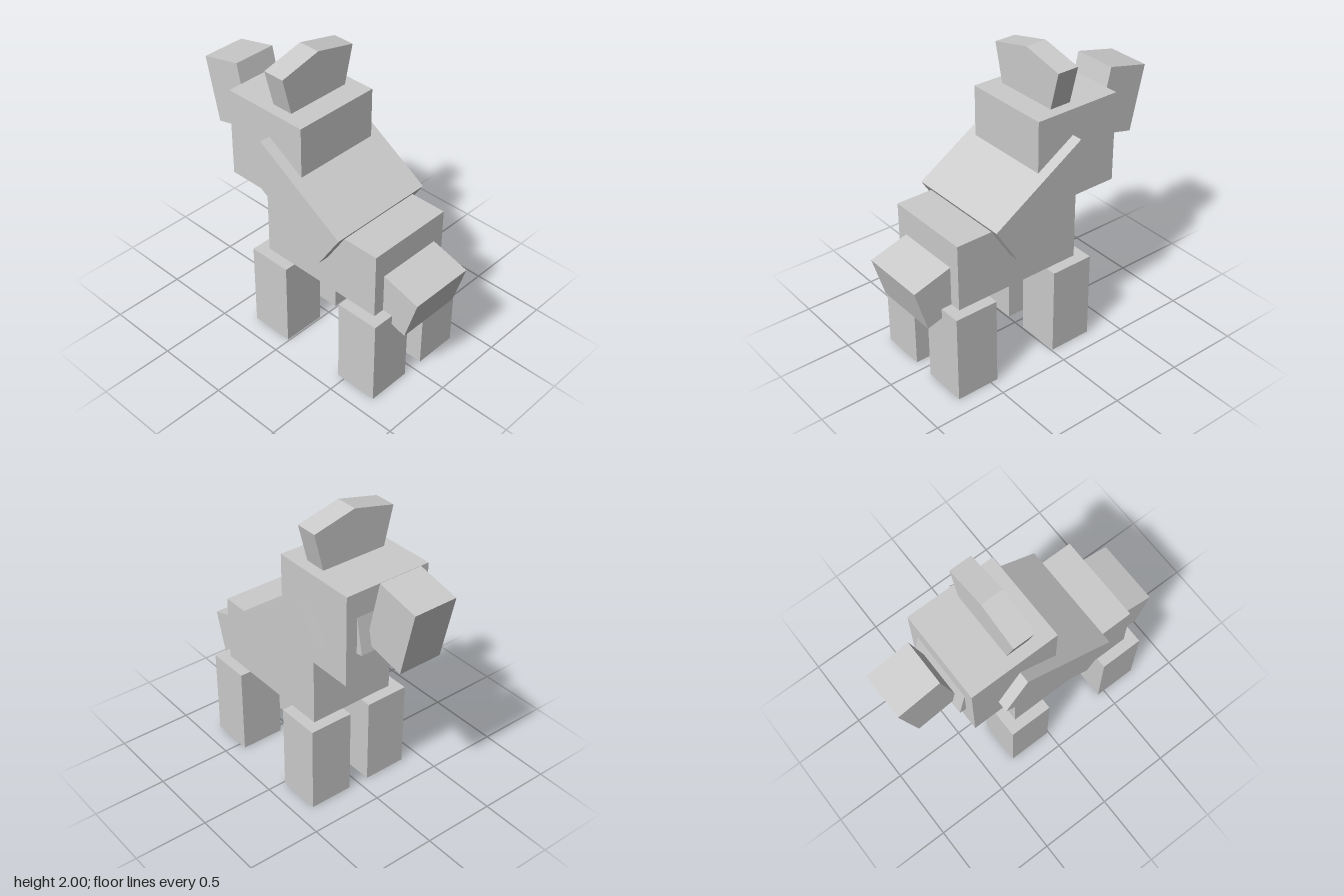
import * as THREE from 'three';

const material = new THREE.MeshStandardMaterial({ color: 0xcccccc, flatShading: true });

export function createModel() {
  const model = new THREE.Group();
  model.name = 'blockAnimal';

  // Box of a given size at a centre, pitched about x
  function block(name, [w, h, d], [x, y, z], pitch = 0) {
    const mesh = new THREE.Mesh(new THREE.BoxGeometry(w, h, d), material);
    mesh.name = name;
    mesh.position.set(x, y, z);
    mesh.rotation.x = pitch;
    model.add(mesh);
  }

  // Trunk
  block('body', [0.61, 0.455, 0.91], [0, 0.837, 0.22]);
  block('upperBody', [0.61, 0.61, 0.61], [0, 1.37, -0.235]);

  // Four legs
  for (const [side, x] of [['left', 0.226], ['right', -0.226]]) {
    block(side + 'FrontLeg', [0.303, 0.608, 0.3], [x, 0.304, 0.598]);
    block(side + 'BackLeg', [0.303, 0.608, 0.3], [x, 0.304, -0.16]);
  }

  // Sloping slab across the back
  block('slopingBack', [0.758, 0.303, 0.758], [0, 1.17, 0.0425], 0.559);

  // Drooping snout
  block('snout', [0.455, 0.303, 0.303], [0, 0.698, 0.748], 0.288);

  // Tail and the tilted plate it grows from
  block('tailBase', [0.455, 0.303, 0.3], [0, 1.393, -0.41], 0.194);
  block('tail', [0.303, 0.451, 0.3], [0, 1.5015, -0.7345], -0.226);

  // Five-sided crest on top
  const outline = new THREE.Shape([
    [-0.228, 1.674], [0.228, 1.674], [0.292, 1.93], [0, 2], [-0.292, 1.93],
  ].map(([x, y]) => new THREE.Vector2(x, y)));
  const crest = new THREE.Mesh(
    new THREE.ExtrudeGeometry(outline, { depth: 0.15, bevelEnabled: false }), material);
  crest.name = 'crest';
  crest.position.z = -0.235;
  model.add(crest);

  return model;
}
